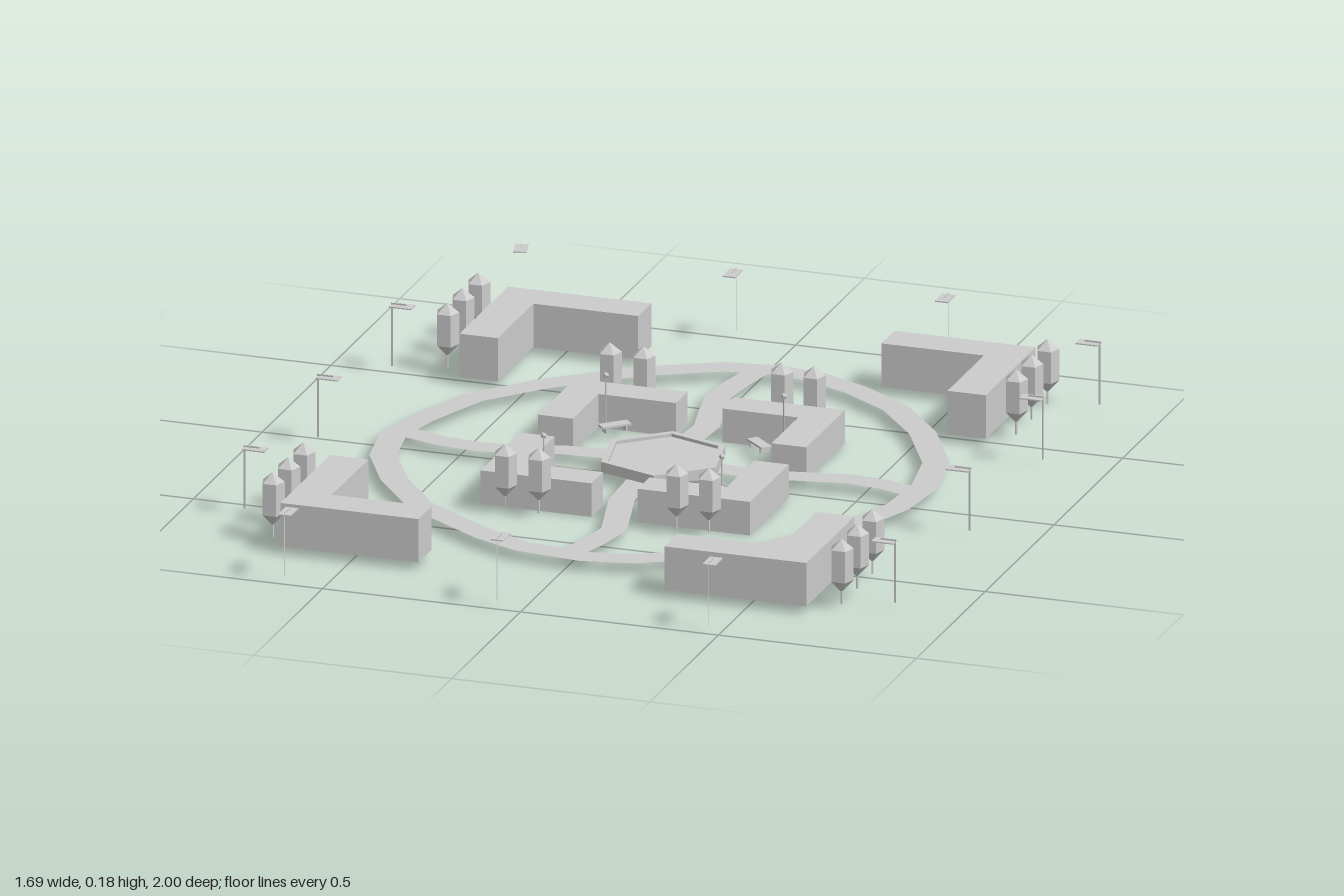
import * as THREE from 'three';

const grey = new THREE.MeshStandardMaterial({ color: 0xcccccc, flatShading: true });
const open = new THREE.MeshStandardMaterial({ color: 0xcccccc, flatShading: true, side: THREE.DoubleSide });
const ROAD_Y = 0.027;

function add(parent, name, geometry, x = 0, y = 0, z = 0, material = grey) {
  const mesh = new THREE.Mesh(geometry, material);
  mesh.name = name;
  mesh.position.set(x, y, z);
  parent.add(mesh);
  return mesh;
}

// Flat strip of constant width along [x, z] points
function ribbon(points, width, closed) {
  const n = points.length;
  const pos = [], index = [];
  points.forEach(([x, z], i) => {
    const a = points[closed ? (i + n - 1) % n : Math.max(i - 1, 0)];
    const b = points[closed ? (i + 1) % n : Math.min(i + 1, n - 1)];
    const dx = b[0] - a[0], dz = b[1] - a[1];
    const k = width / 2 / Math.hypot(dx, dz);
    pos.push(x + dz * k, 0, z - dx * k, x - dz * k, 0, z + dx * k);
  });
  for (let i = 0; i < (closed ? n : n - 1); i++) {
    const a = 2 * i, b = 2 * ((i + 1) % n);
    index.push(a, b, a + 1, a + 1, b, b + 1);
  }
  const g = new THREE.BufferGeometry();
  g.setAttribute('position', new THREE.Float32BufferAttribute(pos, 3));
  g.setIndex(index);
  g.computeVertexNormals();
  if (g.attributes.normal.getY(0) < 0) {
    g.setIndex(index.reverse());
    g.computeVertexNormals();
  }
  return g;
}

// L-shaped block, open underneath; (cx, cz) is the outer corner, (ex, ez) the arm ends
function lBlock(cx, cz, ex, ez, tx, tz, height) {
  const ix = cx + Math.sign(ex - cx) * tx, iz = cz + Math.sign(ez - cz) * tz;
  const outline = [[cx, cz], [ex, cz], [ex, iz], [ix, iz], [ix, ez], [cx, ez]];
  const shape = new THREE.Shape(outline.map(([x, z]) => new THREE.Vector2(x, -z)));
  const solid = new THREE.ExtrudeGeometry(shape, { depth: height, bevelEnabled: false });
  solid.rotateX(-Math.PI / 2);
  const p = solid.attributes.position, nor = solid.attributes.normal;
  const kept = [];
  for (let i = 0; i < p.count; i += 3) {
    if (nor.getY(i) < -0.9) continue;
    for (let j = i; j < i + 3; j++) kept.push(p.getX(j), p.getY(j), p.getZ(j));
  }
  const g = new THREE.BufferGeometry();
  g.setAttribute('position', new THREE.Float32BufferAttribute(kept, 3));
  g.computeVertexNormals();
  return g;
}

function lathe(profile, sides) {
  return new THREE.LatheGeometry(profile.map(([r, y]) => new THREE.Vector2(r, y)), sides);
}

function tree(parent, x, z) {
  const t = new THREE.Group();
  t.name = 'tree';
  t.position.set(x, 0, z);
  t.rotation.y = Math.PI;
  add(t, 'crown', lathe([[0, 0.04], [0.029, 0.071], [0.029, 0.151], [0, 0.175]], 5));
  add(t, 'trunk', new THREE.CylinderGeometry(0.003, 0.003, 0.04, 5), 0, 0.031, 0);
  parent.add(t);
}

// Street lamp: flat post and arm, head reaching along local +z
function streetLamp(parent, x, z, turn) {
  const l = new THREE.Group();
  l.name = 'streetLamp';
  l.position.set(x, 0, z);
  l.rotation.y = turn;
  add(l, 'post', new THREE.PlaneGeometry(0.005, 0.16).rotateY(Math.PI / 2), 0, 0.1, 0.0025, open);
  add(l, 'arm', new THREE.PlaneGeometry(0.04, 0.004).rotateY(Math.PI / 2), 0, 0.178, 0.02, open);
  add(l, 'lampHead', new THREE.BoxGeometry(0.032, 0.003, 0.056), 0, 0.174, 0.029);
  parent.add(l);
}

function bench(parent, x, z, turn) {
  const b = new THREE.Group();
  b.name = 'bench';
  b.position.set(x, 0, z);
  b.rotation.y = turn;
  add(b, 'seat', new THREE.BoxGeometry(0.075, 0.005, 0.028), 0, 0.036, 0);
  for (const s of [-1, 1]) add(b, 'benchLeg', new THREE.BoxGeometry(0.005, 0.014, 0.024), s * 0.026, 0.027, 0);
  parent.add(b);
}

export function createModel() {
  const model = new THREE.Group();
  model.name = 'townSquare';

  // Ring road and four winding paths
  const ring = [
    [0.034, -0.747], [0.145, -0.732], [0.265, -0.677], [0.395, -0.587], [0.515, -0.442], [0.615, -0.252],
    [0.645, -0.077], [0.63, 0.074], [0.566, 0.245], [0.44, 0.425], [0.295, 0.551], [0.154, 0.627],
    [0.038, 0.651], [-0.124, 0.631], [-0.234, 0.581], [-0.45, 0.435], [-0.57, 0.279], [-0.65, 0.128],
    [-0.674, -0.012], [-0.65, -0.142], [-0.58, -0.327], [-0.454, -0.472], [-0.263, -0.632], [-0.087, -0.727],
  ];
  add(model, 'ringRoad', ribbon(ring, 0.066, true), 0, ROAD_Y, 0, open);
  const paths = [
    [[0.003, -0.737], [-0.017, -0.637], [-0.03, -0.527], [-0.012, -0.427], [0.013, -0.317], [0.003, -0.17]],
    [[-0.013, 0.1], [-0.007, 0.244], [0.018, 0.344], [0.043, 0.444], [0.028, 0.534], [-0.002, 0.645]],
    [[-0.13, -0.056], [-0.257, -0.046], [-0.357, -0.016], [-0.452, -0.001], [-0.547, -0.011], [-0.66, -0.046]],
    [[0.13, -0.046], [0.243, -0.036], [0.353, -0.056], [0.458, -0.076], [0.55, -0.066], [0.645, -0.036]],
  ];
  for (const p of paths) add(model, 'path', ribbon(p, 0.063, false), 0, ROAD_Y, 0, open);

  // Hexagonal plaza with a raised rim, open underneath
  const plaza = lathe([[0.16, ROAD_Y], [0.16, 0.053], [0.142, 0.053], [0.142, 0.045], [0, 0.045]], 6);
  plaza.rotateY(THREE.MathUtils.degToRad(11));
  add(model, 'plaza', plaza, 0.002, 0, -0.032, open);

  // Large corner buildings
  for (const [cx, cz, ex, ez] of [
    [-0.665, -0.823, -0.303, -0.47], [0.665, -0.83, 0.309, -0.47],
    [-0.675, 0.802, -0.326, 0.443], [0.65, 0.792, 0.292, 0.443],
  ]) add(model, 'cornerBuilding', lBlock(cx, cz, ex, ez, 0.097, 0.095, 0.11), 0, 0.02, 0, open);

  // Small courtyard buildings
  for (const [cx, cz, ex, ez] of [
    [-0.341, -0.379, -0.057, -0.109], [0.34, -0.379, 0.061, -0.1],
    [-0.341, 0.309, -0.061, 0.024], [0.34, 0.309, 0.056, 0.028],
  ]) add(model, 'courtyardBuilding', lBlock(cx, cz, ex, ez, 0.088, 0.085, 0.085), 0, 0, 0, open);

  // Trees
  for (const x of [-0.723, 0.714]) for (const z of [-0.775, -0.66, -0.548, 0.497, 0.608, 0.721]) tree(model, x, z);
  for (const x of [-0.265, -0.18, 0.168, 0.25]) for (const z of [-0.412, 0.35]) tree(model, x, z);

  // Street lamps around the edge, all reaching inwards
  streetLamp(model, -0.692, -1, 0.26);
  for (const x of [-0.149, 0.388]) streetLamp(model, x, -1, 0);
  for (const x of [-0.597, -0.06, 0.475]) streetLamp(model, x, 1, Math.PI);
  for (const z of [-0.786, -0.375, 0.158, 0.698]) streetLamp(model, 0.844, z, -Math.PI / 2);
  for (const z of [-0.492, 0.043, 0.577]) streetLamp(model, -0.846, z, Math.PI / 2);

  // Courtyard lamps and benches
  for (const x of [-0.222, 0.228]) for (const z of [-0.26, 0.192]) {
    add(model, 'courtyardLampPost', new THREE.CylinderGeometry(0.002, 0.002, 0.125, 5), x, 0.082, z);
    add(model, 'courtyardLampHead', new THREE.IcosahedronGeometry(0.008), x, 0.148, z);
  }
  bench(model, -0.19, -0.232, 0.75);
  bench(model, 0.18, -0.22, -0.75);
  bench(model, -0.172, 0.14, -0.75);
  bench(model, 0.193, 0.153, 0.75);

  return model;
}
